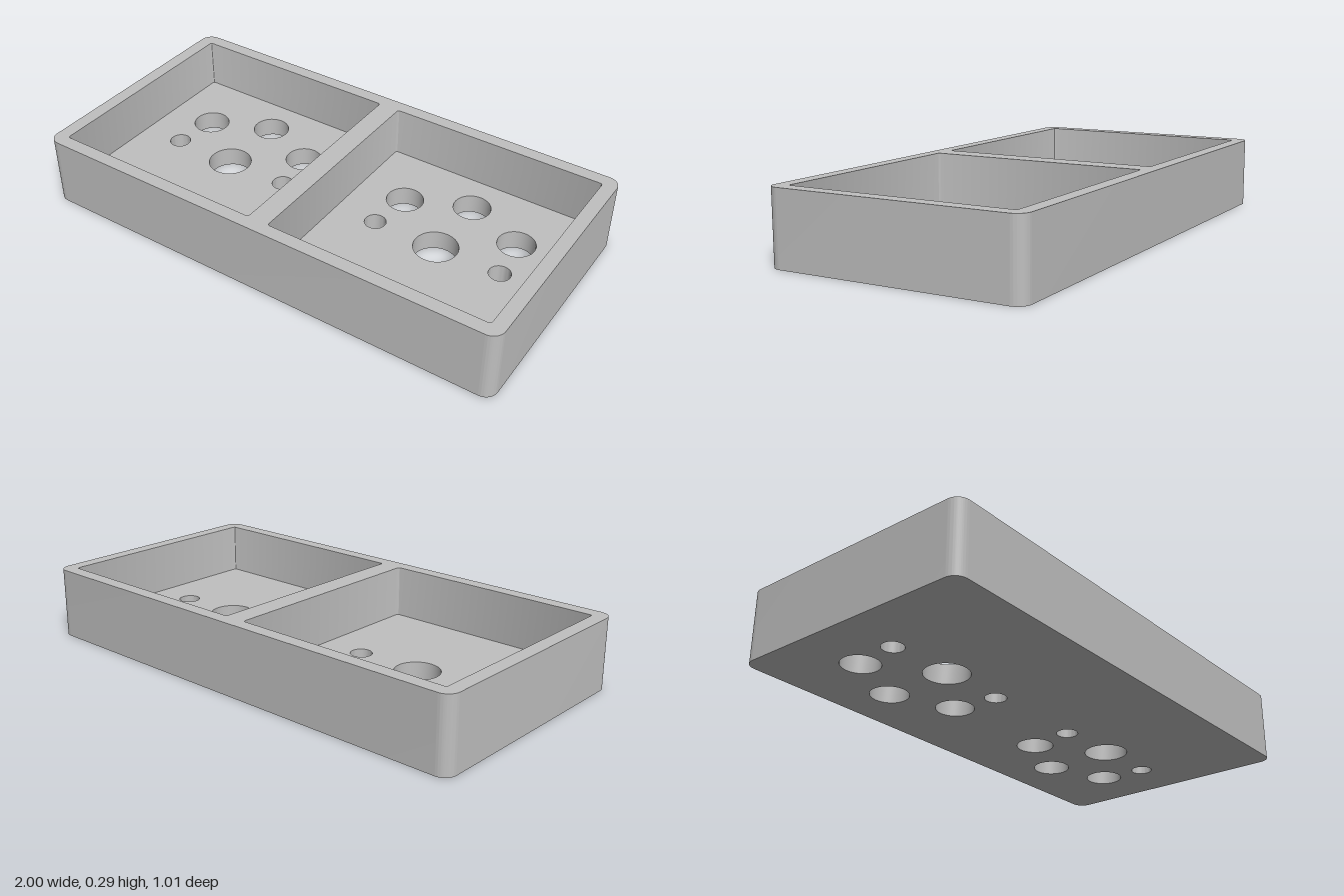
import * as THREE from 'three';
import { toCreasedNormals } from 'three/addons/utils/BufferGeometryUtils.js';

const WIDTH = 2, DEPTH = 1.014, HEIGHT = 0.286, FLOOR = 0.08;
const POCKET_X = 0.494, POCKET_SIZE = 0.9;

// Holes of one pocket: x offset from pocket centre, z, radius
const HOLES = [
  [0, -0.29, 0.075],
  [-0.247, -0.185, 0.075],
  [0.247, -0.185, 0.075],
  [-0.271, 0, 0.043],
  [0.271, 0, 0.043],
  [0, 0, 0.088],
];

// Counter-clockwise rounded rectangle; shape y is -z
function roundedRect(cx, w, d, r) {
  const s = new THREE.Shape(), x = w / 2 - r, y = d / 2 - r, q = Math.PI / 2;
  s.absarc(cx + x, y, r, 0, q);
  s.absarc(cx - x, y, r, q, 2 * q);
  s.absarc(cx - x, -y, r, 2 * q, 3 * q);
  s.absarc(cx + x, -y, r, 3 * q, 4 * q);
  s.closePath();
  return s;
}

function circle(x, z, r) {
  const s = new THREE.Shape();
  s.absarc(x, -z, r, 0, Math.PI * 2);
  return s;
}

// Flat horizontal face with cut-outs, facing up or down
function flatFace(outline, cutouts, y, down = false) {
  const shape = outline.clone();
  shape.holes = cutouts;
  const g = new THREE.ShapeGeometry(shape, 20);
  g.rotateX(-Math.PI / 2);
  g.translate(0, y, 0);
  if (down) {
    g.index.array.reverse();
    g.computeVertexNormals();
  }
  return g;
}

// Vertical wall along a closed outline, facing outward or inward
function wall(outline, y0, y1, inward = false) {
  const pts = outline.getPoints(20);
  const pos = [];
  for (let i = 0; i < pts.length; i++) {
    let a = pts[i], b = pts[(i + 1) % pts.length];
    if (a.distanceTo(b) < 1e-5) continue;
    if (inward) [a, b] = [b, a];
    pos.push(a.x, y0, -a.y, b.x, y0, -b.y, b.x, y1, -b.y);
    pos.push(a.x, y0, -a.y, b.x, y1, -b.y, a.x, y1, -a.y);
  }
  const g = new THREE.BufferGeometry();
  g.setAttribute('position', new THREE.Float32BufferAttribute(pos, 3));
  return toCreasedNormals(g, 0.6);
}

export function createModel() {
  const group = new THREE.Group();
  group.name = 'twoPocketTray';
  const grey = new THREE.MeshStandardMaterial({ color: 0xbfbfbf });
  grey.name = 'grey';
  const add = (name, geometry) => {
    const mesh = new THREE.Mesh(geometry, grey);
    mesh.name = name;
    group.add(mesh);
  };

  const body = roundedRect(0, WIDTH, DEPTH, 0.05);
  const pockets = [], allHoles = [];

  // Two pockets, each with a drilled floor
  for (const [side, cx] of [['right', -POCKET_X], ['left', POCKET_X]]) {
    const pocket = roundedRect(cx, POCKET_SIZE, POCKET_SIZE + 0.004, 0.01);
    const holes = HOLES.map(([x, z, r]) => circle(cx + x, z, r));
    pockets.push(pocket);
    allHoles.push(...holes);
    add(side + 'PocketFloor', flatFace(pocket, holes, FLOOR));
    add(side + 'PocketWall', wall(pocket, FLOOR, HEIGHT, true));
    holes.forEach((h, i) => add(side + 'HoleWall' + (i + 1), wall(h, 0, FLOOR, true)));
  }

  // Outer shell, top rim with divider, and underside
  add('outerWall', wall(body, 0, HEIGHT));
  add('rimAndDivider', flatFace(body, pockets, HEIGHT));
  add('underside', flatFace(body, allHoles, 0, true));
  return group;
}
